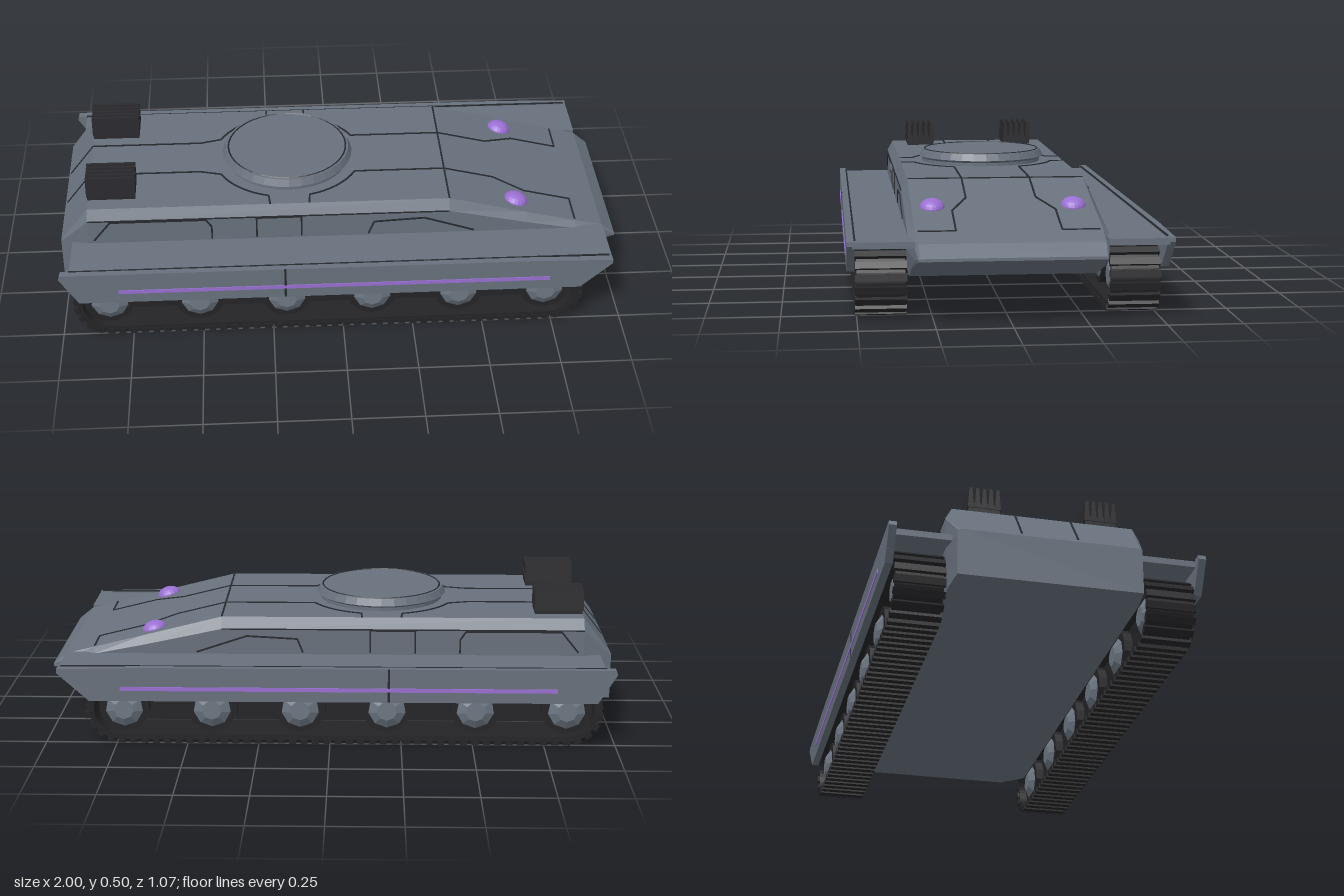
import * as THREE from 'three';
import { mergeGeometries } from 'three/addons/utils/BufferGeometryUtils.js';

const mat = (name, color, side = THREE.FrontSide) =>
  Object.assign(new THREE.MeshStandardMaterial({ color, side, flatShading: true }), { name });

export function createModel() {
  const armour = mat('armour grey', 0x68717d);
  const steel = mat('wheel grey', 0x6d7783);
  const seam = mat('panel seam', 0x26292e);
  const rubber = mat('track black', 0x242427);
  const vent = mat('vent black', 0x2a2a2e);
  const glow = mat('lamp violet', 0x9a6fd2);

  const root = new THREE.Group();
  root.name = 'trackedCarrier';
  const add = (name, geo, material, parent = root) => {
    const m = new THREE.Mesh(geo, material);
    m.name = name;
    parent.add(m);
    return m;
  };
  const box = (w, h, d, x, y, z) => new THREE.BoxGeometry(w, h, d).translate(x, y, z);

  // Hull: cross-sections from tail to nose, each half as bottom, waist, shoulder, roof [z, y]
  const stations = [
    [-1.0, [[0.31, 0.115], [0.31, 0.25], [0.31, 0.275], [0.3, 0.28]]],
    [-0.9, [[0.32, 0.115], [0.332, 0.28], [0.332, 0.37], [0.31, 0.41]]],
    [0.39, [[0.32, 0.115], [0.332, 0.28], [0.332, 0.37], [0.31, 0.41]]],
    [0.67, [[0.32, 0.115], [0.332, 0.26], [0.332, 0.31], [0.31, 0.34]]],
    [0.85, [[0.32, 0.175], [0.332, 0.23], [0.332, 0.275], [0.31, 0.295]]],
    [0.95, [[0.31, 0.207], [0.315, 0.22], [0.315, 0.255], [0.305, 0.27]]],
    [1.0, [[0.305, 0.22], [0.305, 0.223], [0.305, 0.227], [0.3, 0.23]]],
  ];
  const rings = stations.map(([x, h]) => [
    ...h.map(([z, y]) => [x, y, z]),
    ...h.slice().reverse().map(([z, y]) => [x, y, -z]),
  ]);
  const pos = [];
  const tri = (a, b, c) => pos.push(...a, ...b, ...c);
  for (let i = 0; i < rings.length - 1; i++) {
    for (let j = 0; j < 8; j++) {
      const k = (j + 1) % 8, A = rings[i], B = rings[i + 1];
      tri(A[j], B[j], B[k]);
      tri(A[j], B[k], A[k]);
    }
  }
  const first = rings[0], last = rings[rings.length - 1];
  for (let j = 1; j < 7; j++) {
    tri(first[0], first[j], first[j + 1]);
    tri(last[0], last[j + 1], last[j]);
  }
  const hull = new THREE.BufferGeometry();
  hull.setAttribute('position', new THREE.Float32BufferAttribute(pos, 3));
  hull.computeVertexNormals();
  add('hull', hull, armour);

  // Roof height along the centre line
  const roofY = (x) => {
    if (x < -0.9) return 0.28 + (x + 1) * 1.3;
    return x < 0.39 ? 0.41 : 0.41 - (x - 0.39) * 0.25;
  };

  // Panel seams: thin bars between neighbouring points
  const bars = [];
  const line = (pts, t = 0.006) => {
    for (let i = 0; i < pts.length - 1; i++) {
      const a = new THREE.Vector3(...pts[i]), b = new THREE.Vector3(...pts[i + 1]);
      const d = b.clone().sub(a);
      const g = new THREE.BoxGeometry(d.length(), t, t);
      g.applyQuaternion(new THREE.Quaternion().setFromUnitVectors(
        new THREE.Vector3(1, 0, 0), d.normalize()));
      bars.push(g.translate(...a.add(b).multiplyScalar(0.5).toArray()));
    }
  };
  const RX = -0.18;
  const roof = (pts) => line(pts.map(([x, z]) => [x, roofY(x), z]));
  const arc = (a0, a1, s) => Array.from({ length: 9 }, (_, i) => {
    const a = a0 + (a1 - a0) * i / 8;
    return [RX + 0.27 * Math.cos(a), s * 0.27 * Math.sin(a)];
  });
  for (const s of [1, -1]) {
    roof([[-0.99, s * 0.095], [-0.9, s * 0.095], [-0.5, s * 0.095], ...arc(2.7, 1.85, s), [-0.25, s * 0.31]]);
    roof([[0.39, s * 0.12], [0.06, s * 0.12], ...arc(0.46, 1.3, s), [-0.11, s * 0.31]]);
    roof([[0.39, s * 0.12], [0.57, s * 0.12], [0.68, s * 0.175], [0.85, s * 0.175]]);
    roof([[0.85, s * 0.175], [0.85, s * 0.3]]);
    const side = (pts) => line(pts.map(([x, y]) => [x, y, s * 0.332]));
    side([[-0.88, 0.29], [-0.82, 0.365], [-0.48, 0.365], [-0.46, 0.335], [-0.46, 0.285]]);
    side([[-0.3, 0.285], [-0.3, 0.37]]);
    side([[-0.3, 0.367], [-0.14, 0.367]]);
    side([[-0.14, 0.285], [-0.14, 0.37]]);
    side([[0.1, 0.285], [0.12, 0.335], [0.3, 0.345], [0.48, 0.285]]);
    line([[-0.9, 0.37, s * 0.332], [0.39, 0.37, s * 0.332]], 0.004);
  }
  roof([[0.39, -0.31], [0.39, 0.31]]);
  add('panelSeams', mergeGeometries(bars), seam);

  // Raised turret ring with a dark groove
  const ring = [[0.225, 0.4], [0.225, 0.422], [0.238, 0.43], [0.226, 0.455], [0, 0.455]];
  add('turretRing', new THREE.LatheGeometry(ring.map((p) => new THREE.Vector2(...p)), 32)
    .translate(RX, 0, 0), armour);
  add('ringGroove', new THREE.TorusGeometry(0.216, 0.004, 4, 40).rotateX(Math.PI / 2)
    .translate(RX, 0.454, 0), seam);

  // Track loop outline
  const X0 = -0.83, X1 = 0.735, CY = 0.125;
  const stadium = (r, Type) => {
    const p = new Type();
    p.moveTo(X0, CY - r);
    p.lineTo(X1, CY - r);
    p.absarc(X1, CY, r, -Math.PI / 2, Math.PI / 2, false);
    p.lineTo(X0, CY + r);
    p.absarc(X0, CY, r, Math.PI / 2, Math.PI * 1.5, false);
    return p;
  };
  const belt = stadium(0.112, THREE.Shape);
  belt.holes.push(stadium(0.094, THREE.Path));
  const beltGeo = new THREE.ExtrudeGeometry(belt, { depth: 0.16, bevelEnabled: false, curveSegments: 10 })
    .translate(0, 0, 0.34);

  // Cleats around the loop
  const N = 96, outline = stadium(0.114, THREE.Path), cleats = [];
  for (let i = 0; i < N; i++) {
    const p = outline.getPointAt(i / N), t = outline.getTangentAt(i / N);
    cleats.push(new THREE.BoxGeometry(0.024, 0.02, 0.17).rotateZ(Math.atan2(t.y, t.x))
      .translate(p.x, p.y, 0.42));
  }
  const cleatGeo = mergeGeometries(cleats);

  // Side skirt outline
  const skirt = new THREE.Shape([[-0.93, 0.165], [0.84, 0.165], [0.95, 0.265], [0.95, 0.28],
    [0.66, 0.286], [-0.99, 0.286], [-0.995, 0.27]].map((p) => new THREE.Vector2(...p)));
  const skirtGeo = new THREE.ExtrudeGeometry(skirt, { depth: 0.026, bevelEnabled: false })
    .translate(0, 0, 0.507);

  for (const s of [1, -1]) {
    const sideName = s > 0 ? 'front' : 'rear';
    const g = new THREE.Group();
    g.name = sideName + 'SideRunningGear';
    root.add(g);
    // Turning the near side round would swap nose and tail, so reflect each part in z
    const put = (name, geo, m) => {
      const copy = geo.clone();
      if (s < 0) {
        copy.scale(1, 1, -1);
        const flat = copy.index ? copy.toNonIndexed() : copy;
        const a = flat.attributes.position;
        for (let i = 0; i < a.count; i += 3) {
          const p = new THREE.Vector3().fromBufferAttribute(a, i + 1);
          const q = new THREE.Vector3().fromBufferAttribute(a, i + 2);
          a.setXYZ(i + 1, q.x, q.y, q.z);
          a.setXYZ(i + 2, p.x, p.y, p.z);
        }
        flat.computeVertexNormals();
        return add(name, flat, m, g);
      }
      return add(name, copy, m, g);
    };
    put('fender', box(1.91, 0.022, 0.2, -0.005, 0.267, 0.415), armour);
    put('sideSkirt', skirtGeo, armour);
    put('skirtSeam', box(0.008, 0.12, 0.006, -0.205, 0.226, 0.532), seam);
    put('fenderSeam', box(1.9, 0.004, 0.006, -0.01, 0.285, 0.507), seam);
    put('lightStripe', box(1.52, 0.014, 0.006, -0.03, 0.21, 0.533), glow);
    put('trackBelt', beltGeo, rubber);
    put('trackCleats', cleatGeo, rubber);
    put('suspensionBeam', box(1.56, 0.13, 0.05, -0.047, 0.135, 0.42), rubber);

    // Road wheels: dark tyre with faceted grey hubs on both faces
    for (const x of [-0.83, -0.51, -0.2, 0.105, 0.415, 0.725]) {
      put('tyre', new THREE.CylinderGeometry(0.09, 0.09, 0.11, 14).rotateX(Math.PI / 2)
        .translate(x, CY, 0.42), rubber);
      put('wheelHub', new THREE.CylinderGeometry(0.035, 0.068, 0.02, 9).rotateX(Math.PI / 2)
        .translate(x, CY - 0.005, 0.484), steel);
      put('innerHub', new THREE.CylinderGeometry(0.068, 0.035, 0.02, 9).rotateX(Math.PI / 2)
        .translate(x, CY - 0.005, 0.356), steel);
    }

    // Lamp bulging from the sloped nose
    put('noseLamp', new THREE.SphereGeometry(1, 20, 12).scale(0.044, 0.03, 0.043)
      .rotateZ(-0.24).translate(0.64, 0.344, 0.24), glow);

    // Exhaust vent: tapered fins on a base
    put('ventBase', box(0.17, 0.035, 0.106, -0.815, 0.425, 0.2), vent);
    const fin = new THREE.Shape([[-0.01, 0], [0.01, 0], [0.005, 0.075], [-0.005, 0.075]]
      .map((p) => new THREE.Vector2(...p)));
    for (let i = 0; i < 5; i++) {
      put('ventFin', new THREE.ExtrudeGeometry(fin, { depth: 0.175, bevelEnabled: false })
        .rotateY(Math.PI / 2).translate(-0.903, 0.424, 0.154 + i * 0.023), vent);
    }
  }
  return root;
}
